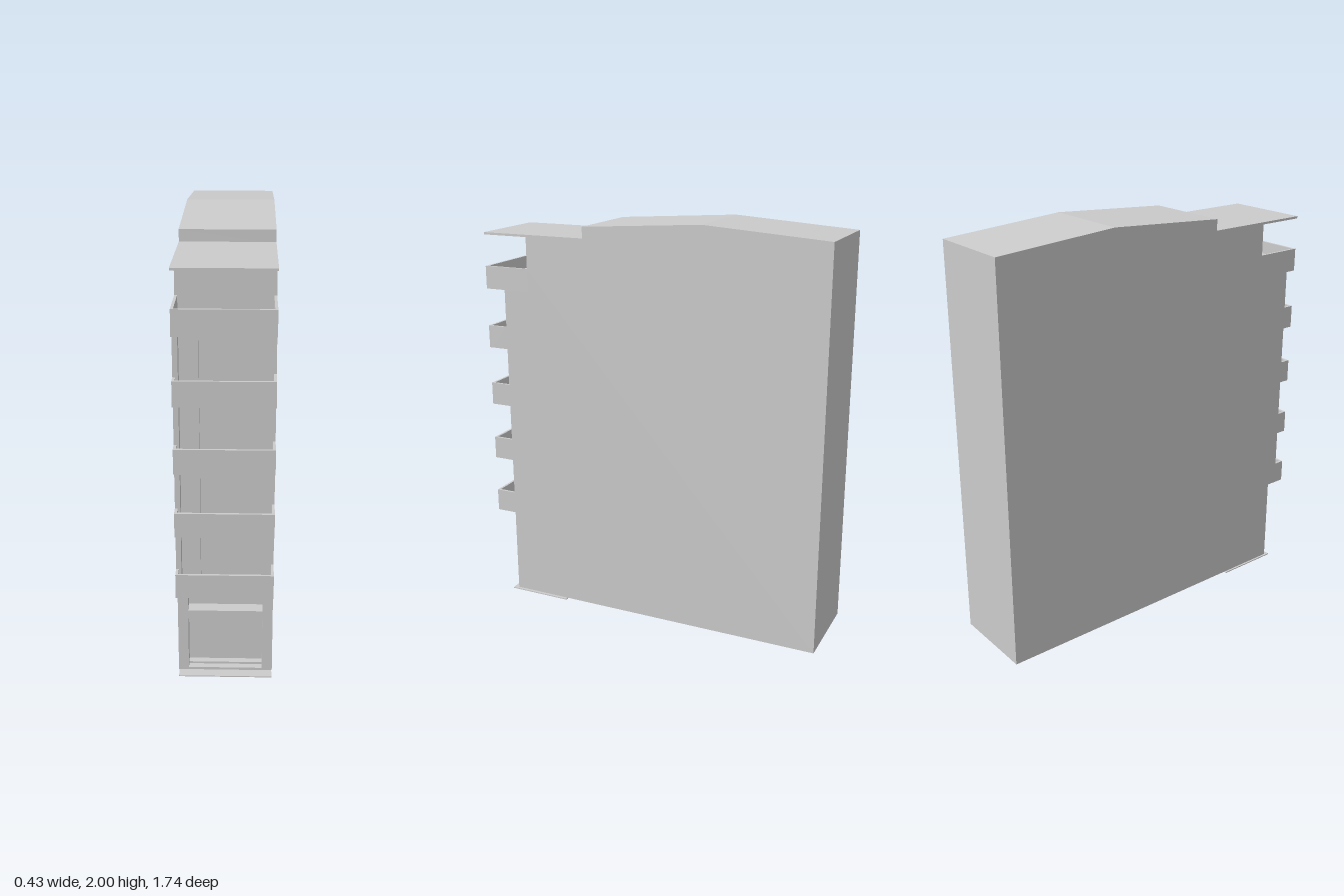
import * as THREE from 'three';

const HALF = 0.213;       // half width of the building
const FACE = 0.77;        // front wall plane
const EDGE = 0.873;       // balcony front plane
const LEVELS = [0.45, 0.743, 1.035, 1.332, 1.63];
const PARAPET = 0.112, WALL = 0.012, SLAB = 0.05;

export function createModel() {
  const group = new THREE.Group();
  const grey = new THREE.MeshStandardMaterial({ color: 0xcccccc, side: THREE.DoubleSide });

  function add(name, geometry, parent = group) {
    const mesh = new THREE.Mesh(geometry, grey);
    mesh.name = name;
    parent.add(mesh);
    return mesh;
  }
  // Box given by its limits on each axis
  function box(name, x0, x1, y0, y1, z0, z1, parent) {
    const mesh = add(name, new THREE.BoxGeometry(x1 - x0, y1 - y0, z1 - z0), parent);
    mesh.position.set((x0 + x1) / 2, (y0 + y1) / 2, (z0 + z1) / 2);
    return mesh;
  }
  // Sheet spanning the full width along a [z, y] path
  function sheet(name, path) {
    const p = [];
    for (let i = 0; i < path.length - 1; i++) {
      const [za, ya] = path[i], [zb, yb] = path[i + 1];
      p.push(-HALF, ya, za, HALF, yb, zb, HALF, ya, za);
      p.push(-HALF, ya, za, -HALF, yb, zb, HALF, yb, zb);
    }
    const g = new THREE.BufferGeometry();
    g.setAttribute('position', new THREE.Float32BufferAttribute(p, 3));
    g.computeVertexNormals();
    return add(name, g);
  }

  // Shell: back, pitched roof, lower roof, terrace and front wall, open underneath
  const top = [[-0.87, 0.015], [-0.87, 1.96], [-0.27, 2], [0.33, 1.96], [0.33, 1.9], [0.637, 1.9]];
  const floorY = LEVELS[4] + SLAB;
  sheet('shell', [...top, [0.637, floorY], [FACE, floorY], [FACE, LEVELS[0]]]);

  // Side walls
  const outline = [...top, [0.637, 1.742], [FACE, 1.742], [FACE, 0.015]];
  const side = new THREE.ShapeGeometry(new THREE.Shape(outline.map(([z, y]) => new THREE.Vector2(-z, y))));
  for (const s of [-1, 1]) {
    const wall = add(s > 0 ? 'leftWall' : 'rightWall', side);
    wall.rotation.y = Math.PI / 2;
    wall.position.x = s * HALF;
    if (s < 0) {
      // Mirrored copy with the outside facing out
      wall.rotation.y = -Math.PI / 2;
      wall.scale.x = -1;
    }
  }

  // Thin canopy over the terrace
  box('canopy', -HALF, HALF, 1.895, 1.906, 0.33, EDGE);

  // Balconies: a floor and three parapets each
  LEVELS.forEach((y, i) => {
    const balcony = new THREE.Group();
    balcony.name = 'balcony' + (i + 1);
    group.add(balcony);
    const back = i === 4 ? 0.637 : FACE;
    box('balconyFloor', -HALF, HALF, y, y + SLAB, FACE, EDGE - 0.002, balcony);
    box('frontParapet', -HALF, HALF, y, y + PARAPET, EDGE - WALL, EDGE, balcony);
    box('leftParapet', HALF - WALL, HALF, y, y + PARAPET, back, EDGE - WALL, balcony);
    box('rightParapet', -HALF, -HALF + WALL, y, y + PARAPET, back, EDGE - WALL, balcony);
    // Window posts between this balcony and the next
    if (i < 4) {
      box('outerPost', -HALF, -0.19, y + SLAB, LEVELS[i + 1], FACE, 0.82, balcony);
      box('innerPost', -0.127, -0.106, y + SLAB, LEVELS[i + 1], FACE, 0.8, balcony);
    }
  });

  // Ground floor front with a shop window and a fanlight
  const rect = (Type, x0, x1, y0, y1) =>
    new Type([[x0, y0], [x1, y0], [x1, y1], [x0, y1]].map(([x, y]) => new THREE.Vector2(x, y)));
  const front = rect(THREE.Shape, -HALF, HALF, 0.015, LEVELS[0]);
  front.holes.push(rect(THREE.Path, -0.167, 0.167, 0.027, 0.282), rect(THREE.Path, -0.167, 0.167, 0.325, 0.402));
  const depth = 0.06;
  add('groundFloorFront', new THREE.ExtrudeGeometry(front, { depth, bevelEnabled: false }))
    .position.z = FACE - depth;
  box('shopWindow', -0.175, 0.175, 0.02, 0.29, FACE - depth - 0.01, FACE - depth);
  box('fanlight', -0.175, 0.175, 0.318, 0.41, FACE - depth - 0.01, FACE - depth);
  box('windowSill', -0.167, 0.167, 0.027, 0.037, FACE - depth, FACE - 0.03);

  // Entrance floor and doorstep
  box('doorstep', -0.211, 0.211, 0, 0.005, 0.48, 0.805);

  return group;
}
